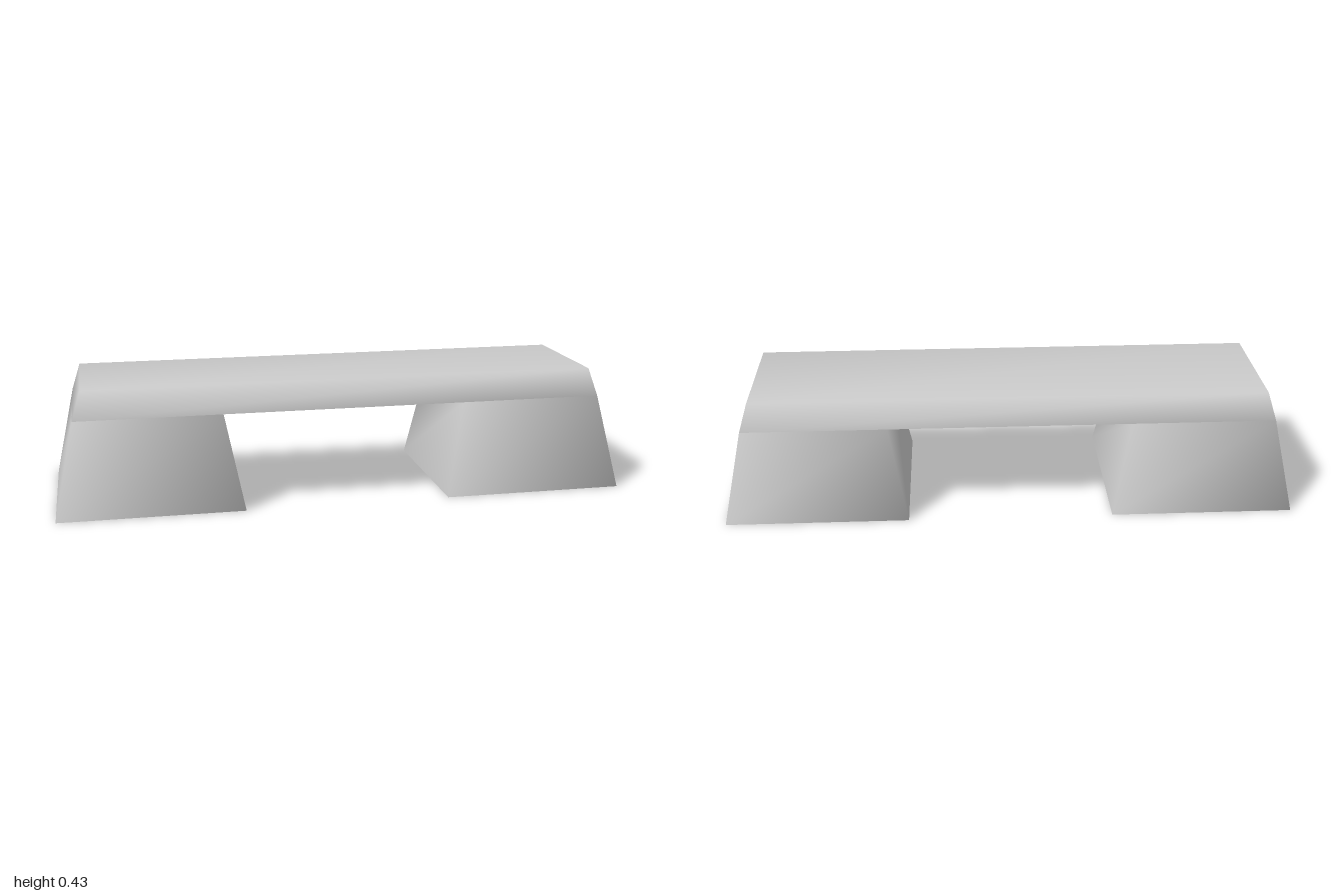
import * as THREE from 'three';

// Corners of a horizontal rectangle, counter-clockwise seen from above
const ring = (x0, x1, z, y) => [[x0, y, z], [x1, y, z], [x1, y, -z], [x0, y, -z]];

// Tapered four-sided shell between two rings, optionally closed on top;
// corners are shared so the shading runs smoothly around the edges
function shell(lower, upper, capped) {
  const index = [];
  for (let i = 0; i < 4; i++) {
    const j = (i + 1) % 4;
    index.push(i, j, 4 + j, i, 4 + j, 4 + i);
  }
  if (capped) index.push(4, 5, 6, 4, 6, 7);
  const geo = new THREE.BufferGeometry();
  geo.setAttribute('position', new THREE.Float32BufferAttribute([...lower, ...upper].flat(), 3));
  geo.setIndex(index);
  geo.computeVertexNormals();
  return geo;
}

export function createModel() {
  const group = new THREE.Group();
  const stone = new THREE.MeshStandardMaterial({ color: 0xcccccc, side: THREE.DoubleSide });
  stone.name = 'paleGrey';

  const add = (name, geo) => {
    const mesh = new THREE.Mesh(geo, stone);
    mesh.name = name;
    group.add(mesh);
    return mesh;
  };

  const joint = 0.33, height = 0.428;

  // Seat slab, narrowing slightly upwards
  add('seat', shell(ring(-0.93, 0.93, 0.247, joint), ring(-0.9, 0.9, 0.225, height), true));

  // Flat underside of the seat
  const underside = add('seatUnderside', new THREE.PlaneGeometry(1.86, 0.494));
  underside.rotation.x = Math.PI / 2;
  underside.position.y = joint;

  // Two hollow tapered legs, open at the bottom
  const span = (side, a, b) => (side > 0 ? [a, b] : [-b, -a]);
  for (const side of [1, -1]) {
    add(side > 0 ? 'leftLeg' : 'rightLeg', shell(
      ring(...span(side, 0.36, 1), 0.305, 0),
      ring(...span(side, 0.425, 0.93), 0.247, joint),
      false
    ));
  }
  return group;
}
